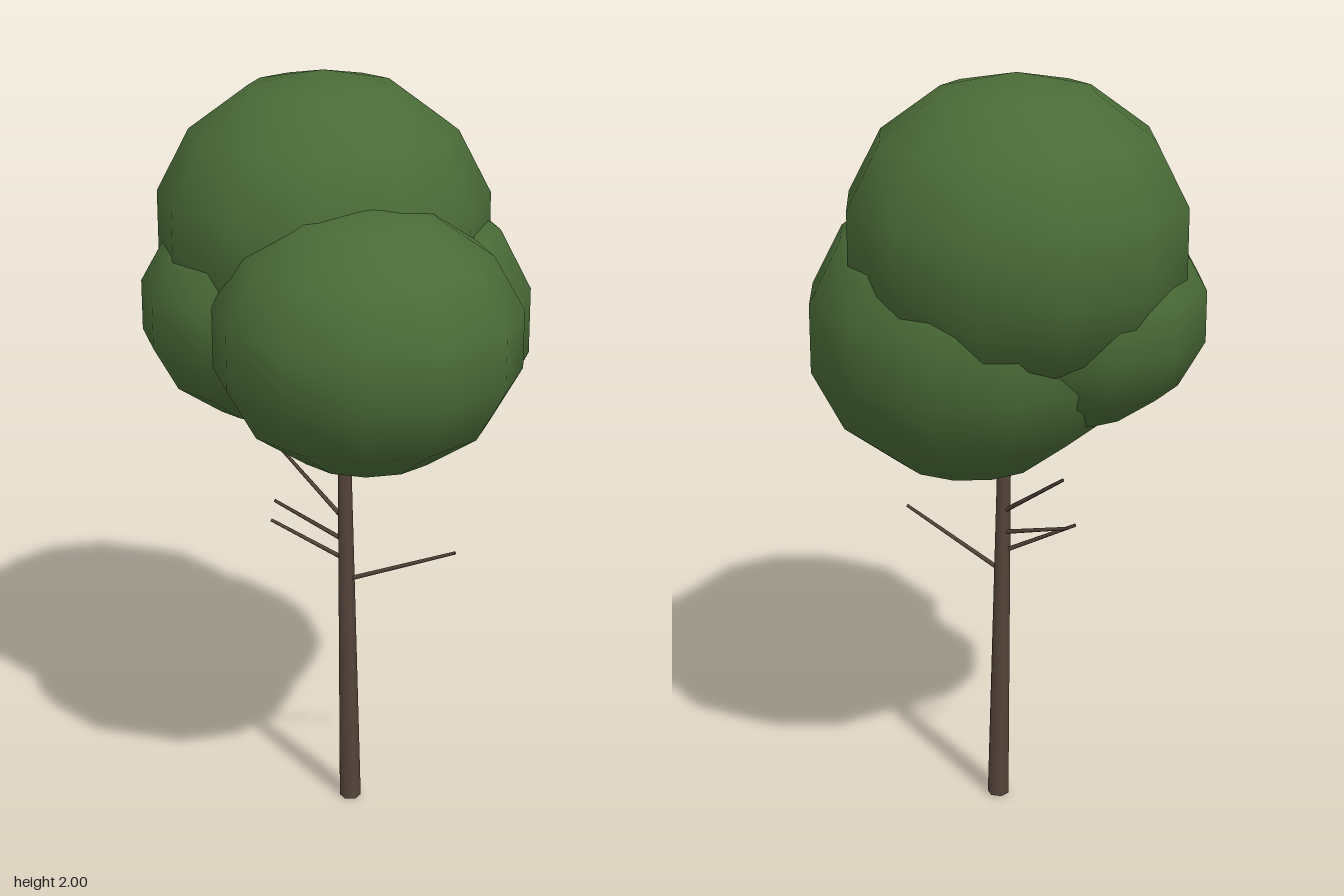
import * as THREE from 'three';

const V = (x, y, z) => new THREE.Vector3(x, y, z);

// Tapered round limb running between two points
function limb(name, from, to, rFrom, rTo, sides, material) {
  const dir = to.clone().sub(from);
  const geo = new THREE.CylinderGeometry(rTo, rFrom, dir.length(), sides);
  const mesh = new THREE.Mesh(geo, material);
  mesh.name = name;
  mesh.position.copy(from).add(to).multiplyScalar(0.5);
  mesh.quaternion.setFromUnitVectors(V(0, 1, 0), dir.normalize());
  return mesh;
}

export function createModel() {
  const tree = new THREE.Group();
  tree.name = 'tree';

  const leaf = new THREE.MeshStandardMaterial({ color: 0x4a6b37 });
  leaf.name = 'leafGreen';
  const bark = new THREE.MeshStandardMaterial({ color: 0x56453a });
  bark.name = 'barkBrown';

  // Leaning trunk, reaching into the foliage
  tree.add(limb('trunk', V(-0.003, 0, -0.031), V(-0.015, 1.2, -0.014), 0.029, 0.0155, 6, bark));

  // Bare twigs below the crown
  const twigs = [
    [V(-0.011, 0.825, -0.02), V(-0.254, 0.985, -0.06)],
    [V(-0.011, 0.767, -0.021), V(-0.235, 0.837, -0.02)],
    [V(-0.01, 0.713, -0.021), V(-0.198, 0.815, 0.055)],
    [V(-0.009, 0.657, -0.022), V(0.288, 0.78, -0.077)],
  ];
  twigs.forEach(([a, b], i) => tree.add(limb(`twig${i + 1}`, a, b, 0.0065, 0.0045, 5, bark)));

  // Foliage: flattened coarse balls [name, centre, horizontal radius, vertical radius]
  const ball = new THREE.SphereGeometry(1, 12, 7);
  const clumps = [
    ['foliageTop', V(-0.118, 1.6, -0.087), 0.437, 0.4],
    ['foliageFront', V(0.154, 1.408, 0.151), 0.393, 0.333],
    ['foliageBack', V(0, 1.355, -0.131), 0.42, 0.388],
    ['foliageRight', V(-0.203, 1.404, 0.034), 0.341, 0.293],
  ];
  for (const [name, centre, r, h] of clumps) {
    const mesh = new THREE.Mesh(ball, leaf);
    mesh.name = name;
    mesh.position.copy(centre);
    mesh.scale.set(r, h, r);
    tree.add(mesh);
  }
  return tree;
}
